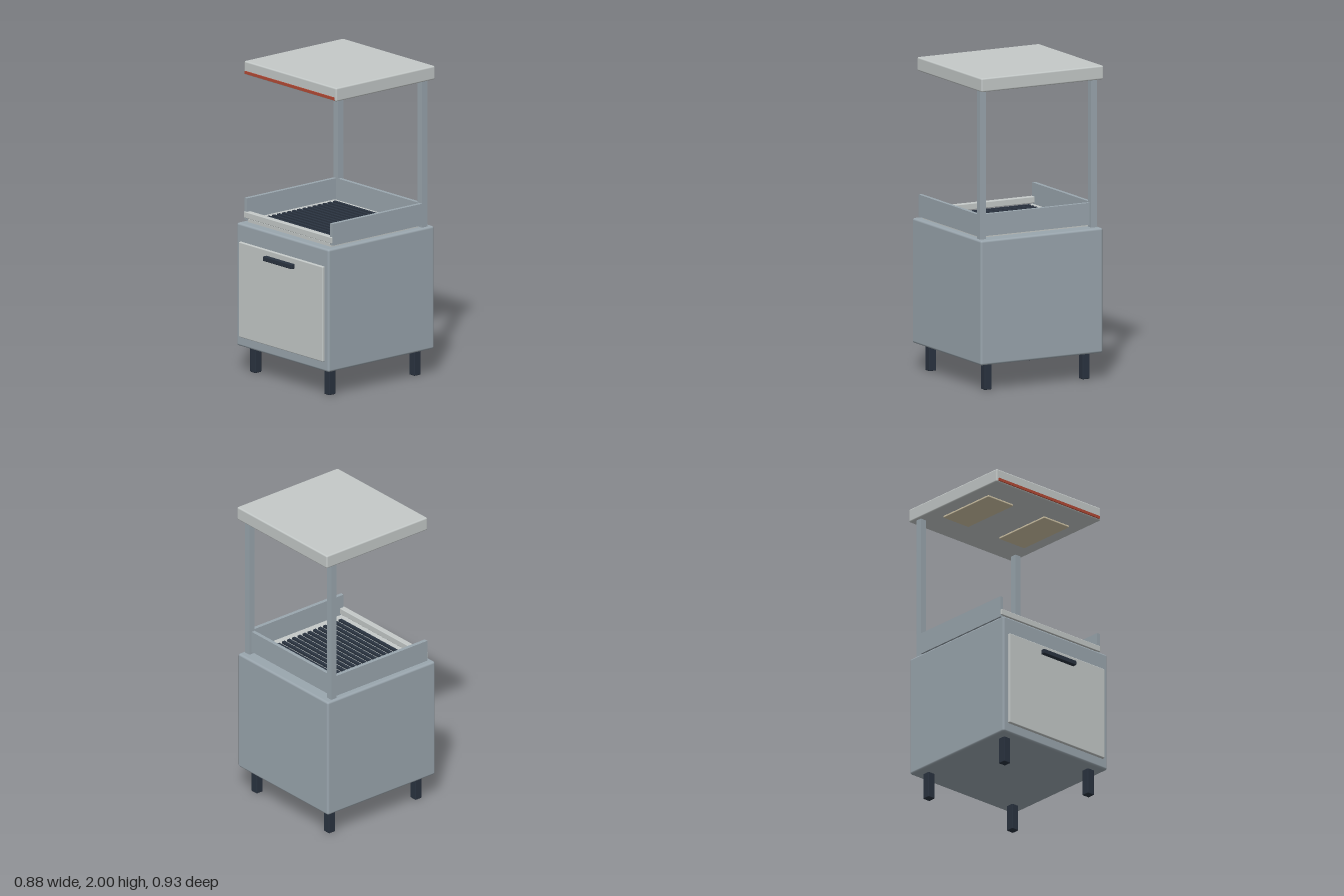
import * as THREE from 'three';
import { RoundedBoxGeometry } from 'three/addons/geometries/RoundedBoxGeometry.js';

const material = (name, color) => {
  const m = new THREE.MeshStandardMaterial({ color });
  m.name = name;
  return m;
};

export function createModel() {
  const model = new THREE.Group();
  model.name = 'servingStation';

  const steel = material('blueGreySteel', 0x9aa6ae);
  const pale = material('paleSteel', 0xc4c9c8);
  const dark = material('darkMetal', 0x2a3340);
  const red = material('redTrim', 0xb24a35);
  const beige = material('warmLamp', 0xd0c4a6);

  // Box given by its extents on each axis; a radius softens its edges
  const box = (name, mat, [x0, x1], [y0, y1], [z0, z1], radius = 0) => {
    const size = [x1 - x0, y1 - y0, z1 - z0];
    const geometry = radius
      ? new RoundedBoxGeometry(...size, 2, radius)
      : new THREE.BoxGeometry(...size);
    const mesh = new THREE.Mesh(geometry, mat);
    mesh.name = name;
    mesh.position.set((x0 + x1) / 2, (y0 + y1) / 2, (z0 + z1) / 2);
    model.add(mesh);
  };
  // The same box on both sides of x = 0
  const pair = (name, mat, [x0, x1], y, z, radius) => {
    box(name + 'Left', mat, [x0, x1], y, z, radius);
    box(name + 'Right', mat, [-x1, -x0], y, z, radius);
  };

  // Cabinet on four legs
  box('cabinet', steel, [-0.438, 0.438], [0.17, 0.965], [-0.457, 0.42], 0.014);
  pair('frontLeg', dark, [0.326, 0.378], [0, 0.175], [0.309, 0.361], 0.005);
  pair('backLeg', dark, [0.326, 0.378], [0, 0.175], [-0.397, -0.345], 0.005);

  // Door and handle
  box('door', pale, [-0.4, 0.4], [0.235, 0.85], [0.412, 0.437], 0.006);
  box('doorHandle', dark, [-0.136, 0.136], [0.785, 0.815], [0.435, 0.465], 0.004);

  // Tray with a grill of bars running across
  box('trayBase', pale, [-0.395, 0.395], [0.963, 0.985], [-0.36, 0.36]);
  const bars = 15;
  for (let i = 0; i < bars; i++) {
    const z = -0.3 + (0.59 * i) / (bars - 1);
    box('grillBar' + (i + 1), dark, [-0.335, 0.335], [0.984, 0.998], [z - 0.011, z + 0.011]);
  }

  // Guards around the tray and the front lip
  pair('sideGuard', steel, [0.395, 0.42], [0.98, 1.12], [-0.372, 0.37]);
  box('backGuard', steel, [-0.395, 0.395], [0.98, 1.12], [-0.395, -0.37]);
  box('frontLip', pale, [-0.416, 0.416], [0.993, 1.033], [0.34, 0.379], 0.004);

  // Back posts carrying the canopy
  pair('post', steel, [0.377, 0.42], [0.963, 1.917], [-0.414, -0.371]);
  box('canopy', pale, [-0.438, 0.438], [1.912, 2], [-0.465, 0.357], 0.01);
  box('canopyTrim', red, [-0.424, 0.424], [1.92, 1.938], [0.353, 0.364]);
  pair('heatLamp', beige, [0.13, 0.34], [1.9, 1.914], [-0.25, 0.17], 0.004);

  return model;
}
